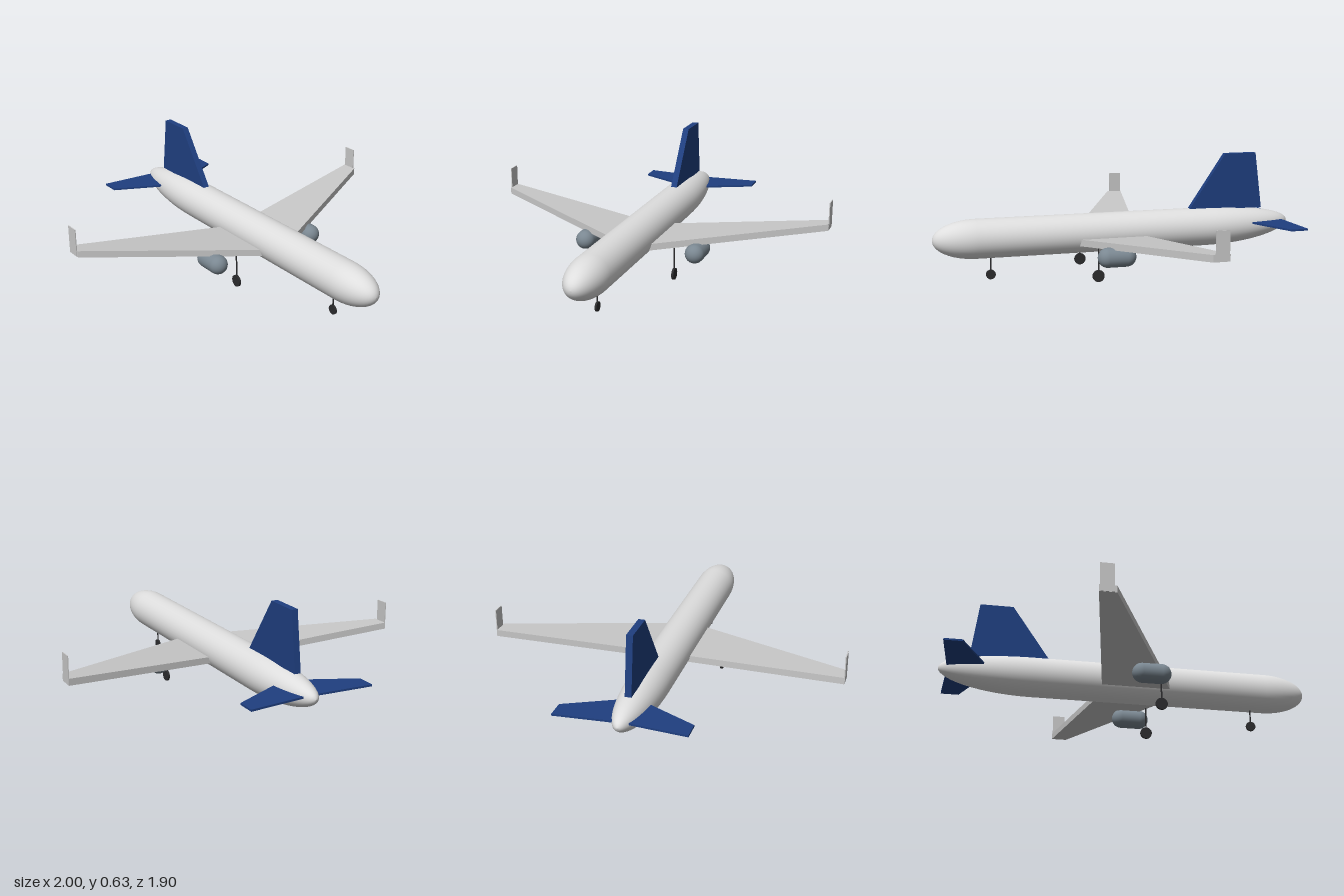
import * as THREE from 'three';

const paint = (name, color, extra = {}) =>
  Object.assign(new THREE.MeshStandardMaterial({ color, ...extra }), { name });

export function createModel() {
  const white = paint('fuselage white', 0xdedede);
  const grey = paint('wing grey', 0xc8c8c8);
  const blue = paint('tail blue', 0x1f3f80);
  const steel = paint('engine steel', 0x7b8892);
  const dark = paint('gear dark', 0x2c2c2e);

  const plane = new THREE.Group();
  plane.name = 'airliner';
  const add = (name, geometry, material, x = 0, y = 0, z = 0) => {
    const mesh = new THREE.Mesh(geometry, material);
    mesh.name = name;
    mesh.position.set(x, y, z);
    plane.add(mesh);
    return mesh;
  };

  // Flat panel from an [x, z] outline, from y up by thickness, rising with distance from z0
  const panel = (outline, side, y, thickness, rise = 0, z0 = 0) => {
    const shape = new THREE.Shape(outline.map(([x, z]) => new THREE.Vector2(x, -z * side)));
    const geo = new THREE.ExtrudeGeometry(shape, { depth: thickness, bevelEnabled: false });
    geo.rotateX(-Math.PI / 2);
    const p = geo.attributes.position;
    for (let i = 0; i < p.count; i++) {
      p.setY(i, p.getY(i) + y + rise * (Math.abs(p.getZ(i)) - z0));
    }
    geo.computeVertexNormals();
    return geo;
  };

  // Fuselage: tube with a long elliptical tail and a shorter rounded nose
  const R = 0.106, noseX = 0.77, tailX = -0.5, steps = 14;
  const profile = [];
  for (let i = 0; i <= steps; i++) {
    const a = (i / steps) * Math.PI / 2;
    profile.push(new THREE.Vector2(R * Math.sin(a), tailX - (1 + tailX) * Math.cos(a)));
  }
  for (let i = 0; i <= steps; i++) {
    const a = (i / steps) * Math.PI / 2;
    profile.push(new THREE.Vector2(R * Math.cos(a), noseX + (1 - noseX) * Math.sin(a)));
  }
  const body = new THREE.LatheGeometry(profile, 40);
  body.rotateZ(-Math.PI / 2);
  // Tail tip sweeps slightly upward
  const bp = body.attributes.position;
  for (let i = 0; i < bp.count; i++) {
    const t = Math.max(0, (tailX - bp.getX(i)) / (1 + tailX));
    bp.setY(i, bp.getY(i) + 0.016 * t * t);
  }
  add('fuselage', body, white, 0, 0.224, 0);

  // Tail fin
  const fin = new THREE.Shape([[-0.84, 0.32], [-0.41, 0.32], [-0.62, 0.63], [-0.8, 0.63]]
    .map(([x, y]) => new THREE.Vector2(x, y)));
  add('tailFin', new THREE.ExtrudeGeometry(fin, { depth: 0.034, bevelEnabled: false }),
    blue, 0, 0, -0.017);

  // Landing gear: strut and wheel
  const gear = (name, x, z, top, radius, width) => {
    add(name + 'Strut', new THREE.CylinderGeometry(0.004, 0.004, top - radius, 8), dark,
      x, (top + radius) / 2, z);
    const wheel = new THREE.CylinderGeometry(radius, radius, width, 20);
    wheel.rotateX(Math.PI / 2);
    add(name + 'Wheel', wheel, dark, x, radius, z);
  };
  gear('noseGear', 0.695, 0, 0.14, 0.026, 0.01);

  for (const side of [1, -1]) {
    const label = side > 0 ? 'left' : 'right';

    add(label + 'Wing', panel([[-0.138, 0.085], [0.232, 0.085], [-0.203, 0.95], [-0.289, 0.95]],
      side, 0.171, 0.036, 0.09, 0.085), grey);
    add(label + 'Winglet', new THREE.BoxGeometry(0.07, 0.15, 0.005), grey,
      -0.25, 0.325, side * 0.95);
    add(label + 'Tailplane', panel([[-0.953, 0], [-0.72, 0], [-0.882, 0.34], [-0.979, 0.34]],
      side, 0.24, 0.01), blue);

    // Engine pod hung on a short pylon
    const pod = new THREE.CapsuleGeometry(0.052, 0.1, 10, 28);
    pod.rotateZ(Math.PI / 2);
    add(label + 'Engine', pod, steel, 0.085, 0.152, side * 0.315);
    add(label + 'Pylon', new THREE.BoxGeometry(0.09, 0.03, 0.012), dark,
      0.055, 0.195, side * 0.315);

    gear(label + 'MainGear', 0.157, side * 0.21, 0.19, 0.032, 0.012);
  }
  return plane;
}
